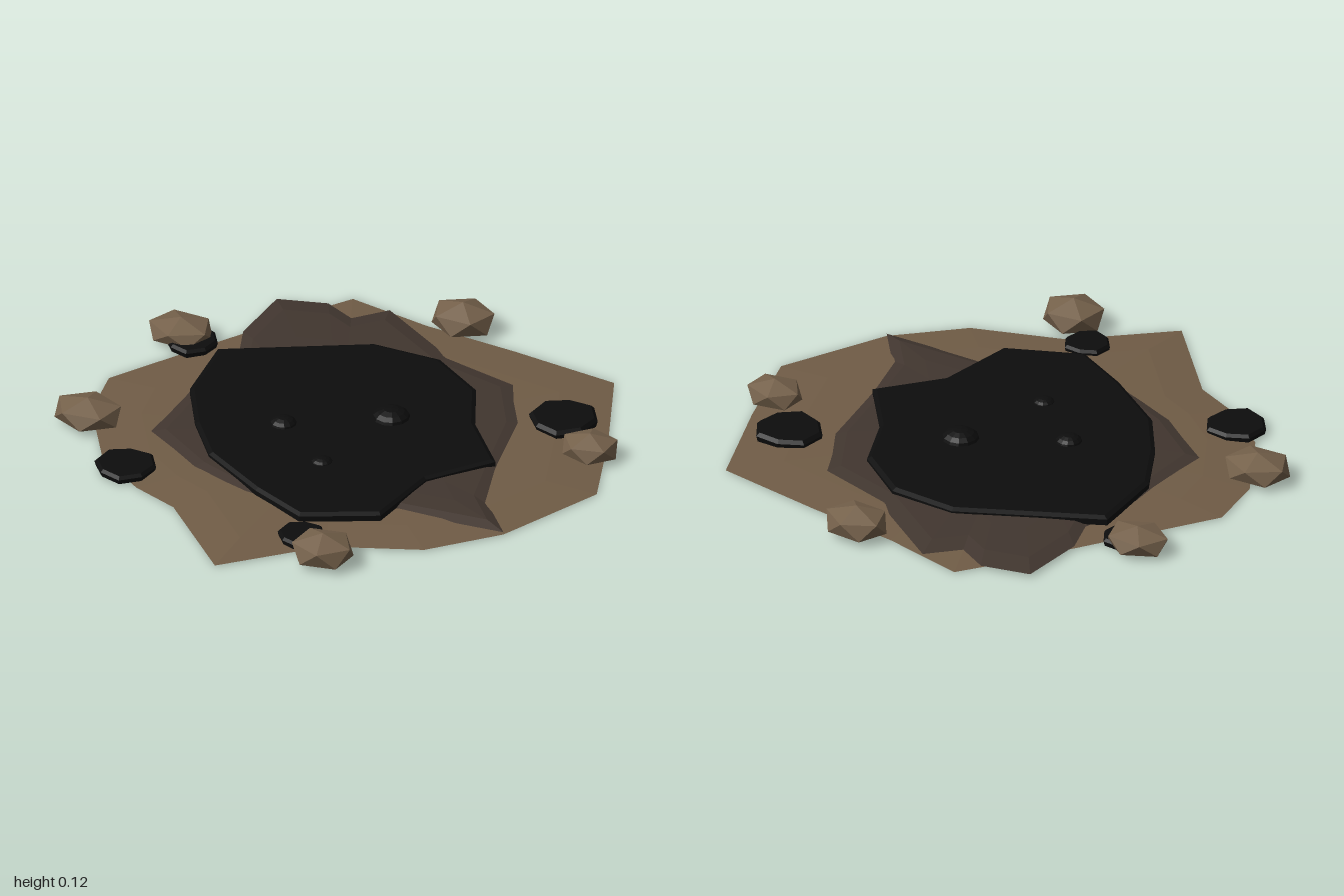
import * as THREE from 'three';

const material = (color) =>
  new THREE.MeshStandardMaterial({ color, flatShading: true, side: THREE.DoubleSide });

// Sheet made of shrinking copies of an outline [x, z]; rings are [scale, height]
function layer(outline, rings, centre = [0, 0]) {
  const n = outline.length, pos = [], index = [];
  for (const [s, y] of rings)
    for (const [x, z] of outline)
      pos.push(centre[0] + (x - centre[0]) * s, y, centre[1] + (z - centre[1]) * s);
  const tip = pos.length / 3;
  pos.push(centre[0], rings[rings.length - 1][1], centre[1]);
  for (let r = 0; r < rings.length; r++)
    for (let i = 0; i < n; i++) {
      const a = r * n + i, b = r * n + (i + 1) % n;
      if (r === rings.length - 1) index.push(tip, a, b);
      else index.push(a, b, b + n, a, b + n, a + n);
    }
  const g = new THREE.BufferGeometry();
  g.setAttribute('position', new THREE.Float32BufferAttribute(pos, 3));
  g.setIndex(index);
  g.computeVertexNormals();
  return g;
}

// Squashed icosahedron with a vertex on top and a cut-off base
function rockGeometry(rx, rz, height, spin) {
  const g = new THREE.IcosahedronGeometry(1, 0);
  g.rotateZ(-0.5536).rotateY(spin);
  const p = g.attributes.position;
  for (let i = 0; i < p.count; i++)
    p.setXYZ(i, p.getX(i) * rx * 1.1, Math.max(0, height * (0.45 + 0.55 * p.getY(i))), p.getZ(i) * rz * 1.1);
  g.computeVertexNormals();
  return g;
}

export function createModel() {
  const group = new THREE.Group();
  const dirt = material(0x705c46), mud = material(0x41362f);
  const stone = material(0x75614b), tar = material(0x0d0d0d);
  const add = (name, geometry, mat, x = 0, y = 0, z = 0) => {
    const m = new THREE.Mesh(geometry, mat);
    m.name = name;
    m.position.set(x, y, z);
    group.add(m);
    return m;
  };

  // Dry ground, mud and tar pool, stacked from the bottom up
  add('dirtGround', layer([
    [0.99, -0.05], [0.87, -0.4], [0.71, -0.79], [0.29, -0.84], [-0.07, -0.87], [-0.39, -0.93],
    [-0.5, -0.77], [-0.64, -0.54], [-0.94, -0.05], [-0.9, 0.18], [-0.72, 0.47], [-0.52, 0.61],
    [-0.34, 0.68], [-0.03, 0.99], [0.27, 0.7], [0.6, 0.57], [0.81, 0.35],
  ], [[1, 0.003], [0.8, 0.015], [0.5, 0.02]]), dirt);

  add('mudRing', layer([
    [0.62, -0.05], [0.55, -0.38], [0.41, -0.62], [0.1, -0.69], [-0.23, -0.9], [-0.33, -0.79],
    [-0.45, -0.85], [-0.63, -0.8], [-0.64, -0.54], [-0.59, -0.4], [-0.65, -0.15], [-0.65, 0.25],
    [-0.4, 0.42], [-0.15, 0.51], [-0.03, 0.53], [0.2, 0.5], [0.42, 0.38], [0.81, 0.35], [0.68, 0.2],
  ], [[1, 0.012], [0.9, 0.026], [0.7, 0.03]]), mud);

  add('tarPool', layer([
    [0.59, -0.05], [0.41, -0.26], [0.31, -0.48], [0.1, -0.62], [-0.16, -0.62], [-0.65, -0.35],
    [-0.62, -0.05], [-0.5, 0.16], [-0.36, 0.34], [-0.1, 0.5], [0.12, 0.6], [0.38, 0.47], [0.42, 0.17],
  ], [[1, 0.014], [1, 0.037], [0.97, 0.045]]), tar);

  // Tar bubbles
  for (const [x, z, r, top] of [[0.12, -0.17, 0.07, 0.08], [-0.21, 0.035, 0.05, 0.07], [0.03, 0.22, 0.04, 0.06]]) {
    const b = add('tarBubble', new THREE.SphereGeometry(r, 12, 8), tar, x, 0.04, z);
    b.scale.y = (top - 0.04) / r;
  }

  // Small tar puddles: [x, z, radius, top, sides]
  for (const [x, z, r, top, sides] of [
    [0.67, -0.45, 0.125, 0.042, 8], [-0.61, 0.51, 0.112, 0.035, 8],
    [0.17, 0.69, 0.085, 0.035, 8], [-0.77, -0.385, 0.095, 0.035, 8],
  ]) {
    const edge = Array.from({ length: sides }, (_, i) => {
      const a = -(i + 0.3) / sides * Math.PI * 2, k = r * (1 + 0.06 * Math.sin(i * 2.3));
      return [Math.cos(a) * k, Math.sin(a) * k];
    });
    add('tarPuddle', layer(edge, [[0, 0.006], [0.95, 0.006], [1, top * 0.7], [0.9, top]]), tar, x, 0, z);
  }

  // Rocks around the rim: [x, z, half width, half depth, height, spin]
  for (const [x, z, rx, rz, h, spin] of [
    [0.06, -0.9, 0.118, 0.1, 0.118, 0.3], [-0.825, -0.41, 0.12, 0.1, 0.095, 0.9],
    [-0.875, 0.265, 0.125, 0.105, 0.105, 1.7], [0.305, 0.795, 0.115, 0.105, 0.118, 2.4],
    [0.855, -0.28, 0.105, 0.09, 0.1, 3.1],
  ]) add('rimRock', rockGeometry(rx, rz, h, spin), stone, x, 0, z);

  return group;
}
